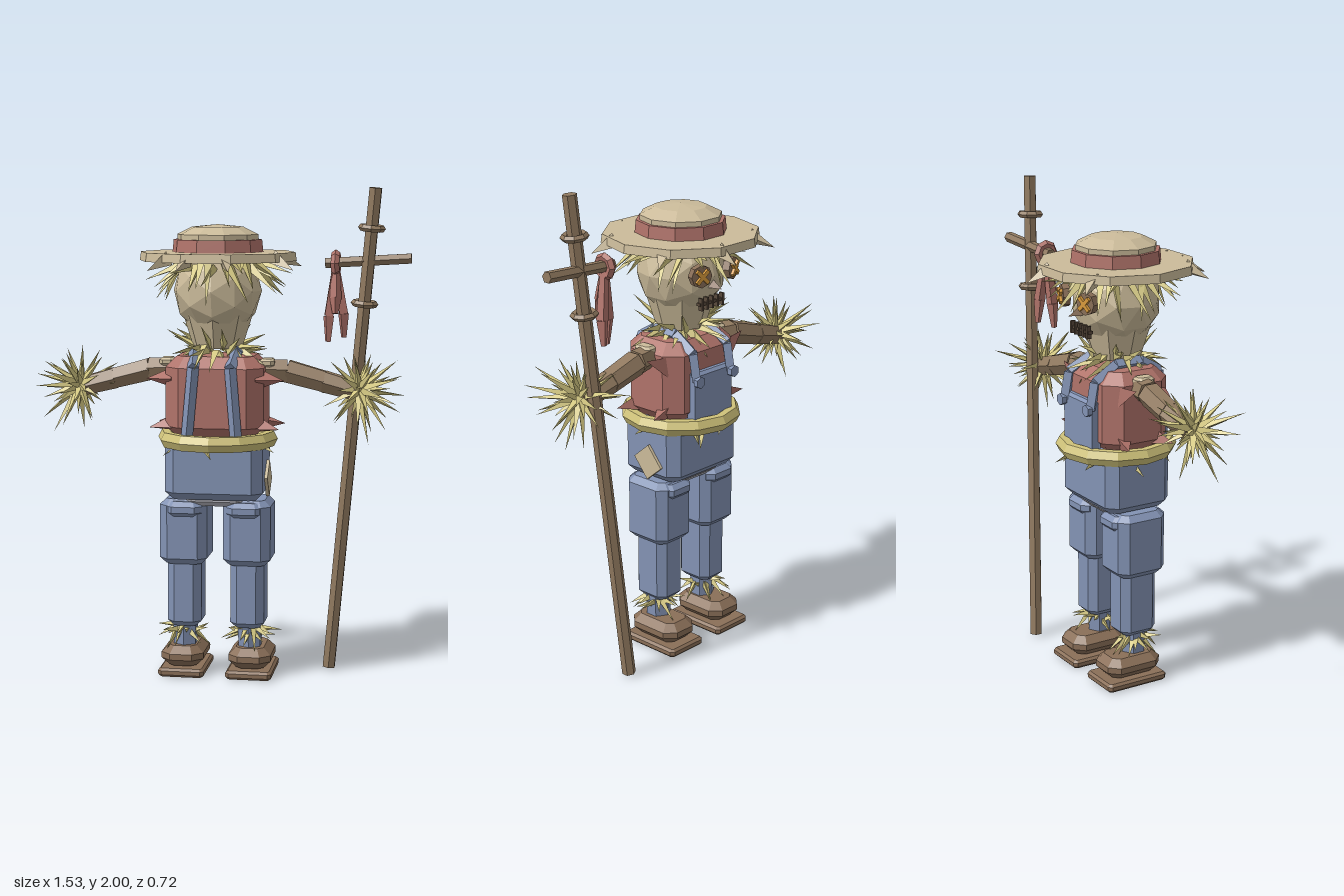
import * as THREE from 'three';
import { mergeGeometries } from 'three/addons/utils/BufferGeometryUtils.js';

const V = (x, y, z) => new THREE.Vector3(x, y, z);
const UP = V(0, 1, 0);
const mat = (color) => new THREE.MeshStandardMaterial({ color, flatShading: true, side: THREE.DoubleSide });

export function createModel() {
  const root = new THREE.Group();
  const straw = mat(0xd6ca84), denim = mat(0x8393b4), red = mat(0xb0736a), wood = mat(0x917a60),
    burlap = mat(0xcbbb9a), rope = mat(0xcfc27a), leather = mat(0x8a6f58), grey = mat(0xb4b4bc),
    dark = mat(0x5a4a3c), orange = mat(0xd89a3c);

  let seed = 7;
  const rnd = (a = 0, b = 1) => {
    seed = (seed * 16807) % 2147483647;
    return a + (b - a) * (seed / 2147483647);
  };

  const add = (name, geo, m, x = 0, y = 0, z = 0) => {
    const mesh = new THREE.Mesh(geo, m);
    mesh.name = name;
    mesh.position.set(x, y, z);
    root.add(mesh);
    return mesh;
  };

  // Box with every edge cut at an angle, centred on the origin
  const chamferBox = (w, h, d, c) => {
    const a = w / 2 - c, b = d / 2 - c, k = c * 0.8;
    const pts = [[a - k, -b], [a, -b + k], [a, b - k], [a - k, b], [-a + k, b], [-a, b - k], [-a, -b + k], [-a + k, -b]];
    const shape = new THREE.Shape(pts.map((p) => new THREE.Vector2(...p)));
    return new THREE.ExtrudeGeometry(shape, {
      depth: h - 2 * c, bevelEnabled: true, bevelSize: c, bevelThickness: c, bevelSegments: 1,
    }).translate(0, 0, -(h - 2 * c) / 2).rotateX(-Math.PI / 2);
  };

  // Tapered rod between two points
  const rod = (a, b, r0, r1 = r0, sides = 6) => {
    const d = b.clone().sub(a), len = d.length();
    return new THREE.CylinderGeometry(r1, r0, len, sides).translate(0, len / 2, 0)
      .applyQuaternion(new THREE.Quaternion().setFromUnitVectors(UP, d.normalize()))
      .translate(a.x, a.y, a.z);
  };
  const spike = (base, tip, r) => rod(base, tip, r, 0, 3);

  // Ring of straw: spikes from radius r0 at y0 to about radius r1 between yLow and yHigh
  const strawRing = (name, n, cx, cz, r0, y0, r1, yLow, yHigh, w) => {
    const parts = [];
    for (let i = 0; i < n; i++) {
      const t = ((i + rnd(-0.4, 0.4)) / n) * Math.PI * 2, u = t + rnd(-0.3, 0.3), q = r1 * rnd(0.75, 1.1);
      parts.push(spike(V(cx + r0 * Math.cos(t), y0 + rnd(-0.02, 0.02), cz + r0 * Math.sin(t)),
        V(cx + q * Math.cos(u), rnd(yLow, yHigh), cz + q * Math.sin(u)), w));
    }
    add(name, mergeGeometries(parts), straw);
  };

  // Hat
  const disc = (name, m, r0, r1, y0, y1, turn = Math.PI / 2) =>
    add(name, new THREE.CylinderGeometry(r1, r0, y1 - y0, 10).rotateY(turn), m, 0, (y0 + y1) / 2, 0);
  disc('hatBrim', burlap, 0.32, 0.315, 1.71, 1.745);
  disc('hatBand', red, 0.185, 0.18, 1.745, 1.795);
  const crown = [[0.165, 1.78], [0.165, 1.815], [0.105, 1.845], [0, 1.855]].map((p) => new THREE.Vector2(...p));
  add('hatCrown', new THREE.LatheGeometry(crown, 10).rotateY(Math.PI / 2), burlap);
  const frays = [75, 28, -30, -78, 107, 129, 230].map((deg) => {
    const t = (deg * Math.PI) / 180, c = Math.cos(t), s = Math.sin(t);
    return spike(V(0.27 * c, 1.725, 0.27 * s), V(0.37 * c, 1.68, 0.37 * s), 0.035);
  });
  add('hatFrays', mergeGeometries(frays), burlap);

  // Head, with the face towards -z
  add('head', new THREE.IcosahedronGeometry(0.18, 1).scale(1, 1.05, 1), burlap, 0, 1.59, 0);
  add('jaw', new THREE.CylinderGeometry(0.145, 0.1, 0.14, 8), burlap, 0, 1.43, 0);
  for (const s of [-1, 1]) {
    const eye = new THREE.Group();
    eye.name = 'buttonEye';
    eye.add(new THREE.Mesh(new THREE.CylinderGeometry(0.046, 0.046, 0.03, 8).rotateX(Math.PI / 2), leather));
    for (const turn of [-1, 1]) {
      const stitch = new THREE.Mesh(new THREE.BoxGeometry(0.07, 0.016, 0.014), orange);
      stitch.position.z = -0.02;
      stitch.rotation.z = turn * Math.PI / 4;
      eye.add(stitch);
    }
    eye.position.set(0.088 * s, 1.61, -0.185);
    eye.rotation.y = -0.3 * s;
    root.add(eye);
  }
  add('nose', spike(V(0, 1.56, -0.15), V(0, 1.545, -0.22), 0.03), leather);
  add('mouth', new THREE.BoxGeometry(0.14, 0.012, 0.02), dark, 0, 1.485, -0.16);
  for (let i = -2; i <= 2; i++) add('mouthStitch', new THREE.BoxGeometry(0.01, 0.05, 0.02), dark, i * 0.03, 1.485, -0.165);
  strawRing('hair', 34, 0, 0, 0.15, 1.7, 0.28, 1.53, 1.68, 0.02);
  strawRing('collarStraw', 36, 0, 0, 0.08, 1.36, 0.21, 1.25, 1.46, 0.018);

  // Torso
  add('shirt', chamferBox(0.4, 0.33, 0.3, 0.045), red, 0, 1.165, 0);
  add('overallsWaist', chamferBox(0.4, 0.24, 0.3, 0.03), denim, 0, 0.87, 0);
  add('crotch', chamferBox(0.24, 0.06, 0.22, 0.02), grey, 0, 0.75, 0);
  add('bib', chamferBox(0.25, 0.22, 0.04, 0.012), denim, 0, 1.1, -0.16);
  add('ropeBelt', new THREE.TorusGeometry(0.215, 0.032, 6, 12).rotateX(Math.PI / 2).scale(1, 1.1, 1), rope, 0, 0.99, 0);
  strawRing('beltStraw', 8, 0, 0, 0.17, 0.98, 0.23, 0.9, 0.94, 0.018);
  const patch = add('hipPatch', new THREE.BoxGeometry(0.015, 0.11, 0.1), burlap, 0.205, 0.825, -0.015);
  patch.rotation.x = 0.7;

  for (const s of [-1, 1]) {
    // Overall straps over each shoulder
    const path = [V(0.1 * s, 1.0, 0.165), V(0.075 * s, 1.29, 0.155), V(0.085 * s, 1.345, 0.06),
      V(0.09 * s, 1.345, -0.06), V(0.1 * s, 1.29, -0.16), V(0.1 * s, 1.18, -0.18)];
    const straps = path.slice(1).map((p, i) => rod(path[i], p, 0.024, 0.024, 4));
    add('strap', mergeGeometries(straps), denim);
    add('strapButton', new THREE.CylinderGeometry(0.025, 0.025, 0.02, 6).rotateX(Math.PI / 2), denim, 0.1 * s, 1.18, -0.195);

    // Torn shirt points at the shoulders and hem
    const rags = [];
    for (const z of [-0.08, 0.08]) {
      rags.push(spike(V(0.17 * s, 1.24, z), V(0.28 * s, 1.26 - z * 0.3, z), 0.05));
      rags.push(spike(V(0.18 * s, 1.05, z), V(0.265 * s, 1.04, z * 1.3), 0.035));
    }
    add('shirtRags', mergeGeometries(rags), red);
    add('shoulderPatch', chamferBox(0.06, 0.035, 0.08, 0.01), burlap, 0.205 * s, 1.3, 0);

    // Arm in jointed pieces
    const arm = [V(0.16, 1.27, 0), V(0.28, 1.265, -0.02), V(0.43, 1.225, -0.025), V(0.58, 1.185, -0.02)];
    const radii = [0.045, 0.052, 0.048, 0.042];
    arm.forEach((p) => { p.x *= s; });
    add('arm', mergeGeometries(arm.slice(1).map((p, i) => rod(arm[i], p, radii[i], radii[i + 1]))), wood);

    // Straw hand
    const hand = [];
    for (let i = 0; i < 46; i++) {
      const y = 1 - (2 * (i + 0.5)) / 46, t = i * 2.4, q = Math.sqrt(1 - y * y);
      const d = V(q * Math.cos(t) * 0.9 + 0.12 * s, y, q * Math.sin(t)).multiplyScalar(rnd(0.12, 0.225));
      const c = V(0.575 * s, 1.195, -0.01);
      hand.push(spike(c, c.clone().add(d), 0.02));
    }
    add('strawHand', mergeGeometries(hand), straw);

    // Leg and shoe
    add('thigh', chamferBox(0.195, 0.27, 0.22, 0.025), denim, 0.13 * s, 0.61, 0.0);
    add('thighCuff', chamferBox(0.15, 0.065, 0.25, 0.02), denim, 0.125 * s, 0.705, 0);
    add('shin', chamferBox(0.14, 0.3, 0.165, 0.022), denim, 0.13 * s, 0.36, 0);
    add('ankle', new THREE.CylinderGeometry(0.055, 0.05, 0.16, 6), denim, 0.135 * s, 0.16, 0);
    strawRing('ankleStraw', 18, 0.14 * s, 0, 0.04, 0.19, 0.115, 0.11, 0.22, 0.014);
    add('shoe', chamferBox(0.175, 0.085, 0.25, 0.03), leather, 0.14 * s, 0.083, -0.03);
    add('sole', chamferBox(0.19, 0.036, 0.28, 0.01), leather, 0.14 * s, 0.018, -0.035);
  }

  // Staff with two bindings, a crossbar and a hanging cloth
  const foot = V(0.45, 0.01, -0.135), top = V(0.63, 2, -0.035);
  add('staff', rod(foot, top, 0.028, 0.028, 6), wood);
  const lean = new THREE.Quaternion().setFromUnitVectors(UP, top.clone().sub(foot).normalize());
  for (const t of [0.768, 0.92]) {
    const ring = add('staffBinding', new THREE.TorusGeometry(0.042, 0.014, 5, 8).rotateX(Math.PI / 2), wood);
    ring.position.lerpVectors(foot, top, t);
    ring.quaternion.copy(lean);
  }
  add('crossbar', rod(V(0.43, 1.7, -0.05), V(0.775, 1.72, -0.06), 0.023, 0.023, 6), wood);
  add('clothLoop', new THREE.TorusGeometry(0.037, 0.018, 5, 8).rotateY(Math.PI / 2), red, 0.472, 1.7, -0.052);
  const strips = [[0.445, 1.385, -0.03], [0.505, 1.4, -0.075], [0.475, 1.5, -0.01]].map((p) => {
    const end = V(...p);
    const mid = V(0.472, 1.68, -0.05).lerp(end, 0.65).add(V((p[0] - 0.472) * 0.3, 0, 0));
    return mergeGeometries([rod(V(0.472, 1.7, -0.05), mid, 0.016, 0.024, 4), rod(mid, end, 0.024, 0.012, 4)]);
  });
  add('hangingCloth', mergeGeometries(strips), red);

  return root;
}
